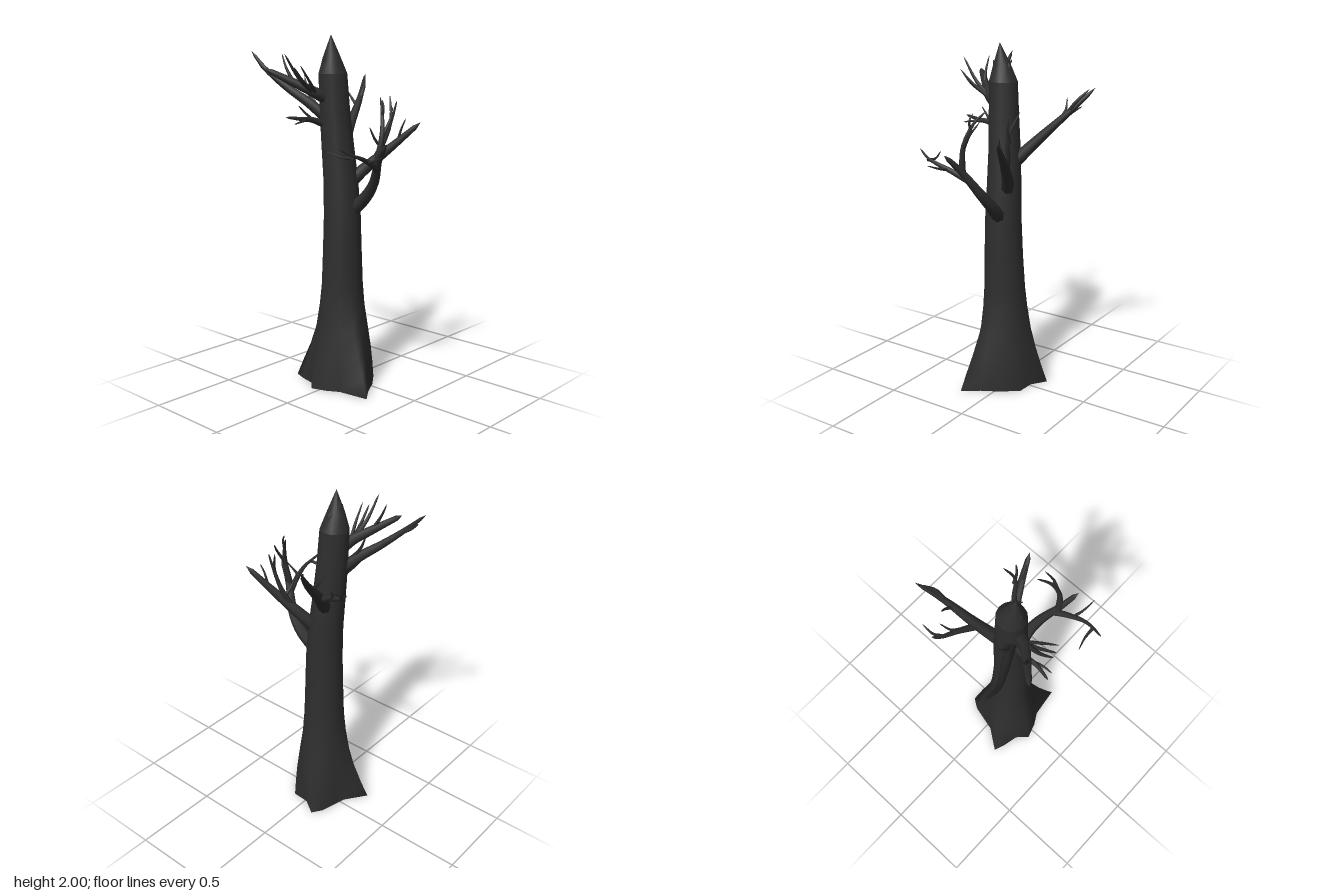
import * as THREE from 'three';
import { mergeVertices } from 'three/addons/utils/BufferGeometryUtils.js';

const bark = new THREE.MeshStandardMaterial({ color: 0x2e2e2e, side: THREE.DoubleSide });
bark.name = 'dark bark';

// Skin stacked closed rings (arrays of Vector3) into a smooth shell.
function loft(rings) {
  const n = rings[0].length, index = [];
  for (let r = 0; r < rings.length - 1; r++) {
    for (let i = 0; i < n; i++) {
      const a = r * n + i, b = r * n + (i + 1) % n, c = a + n, d = b + n;
      index.push(a, c, b, b, c, d);
    }
  }
  const geo = new THREE.BufferGeometry().setFromPoints(rings.flat());
  geo.setIndex(index);
  geo.computeVertexNormals();
  return geo;
}

// Tapered tube through the points, closed at the tip.
function limb(points, r0, r1, sides = 7) {
  const curve = new THREE.CatmullRomCurve3(points.map(p => new THREE.Vector3(...p)));
  const steps = points.length * 3;
  let geo = new THREE.TubeGeometry(curve, steps, 1, sides);
  const pos = geo.attributes.position, v = new THREE.Vector3();
  for (let i = 0; i < pos.count; i++) {
    const ring = Math.floor(i / (sides + 1)), t = ring / steps;
    const c = curve.getPointAt(t);
    const r = ring === steps ? 0.0005 : r0 + (r1 - r0) * t;
    v.fromBufferAttribute(pos, i).sub(c).multiplyScalar(r).add(c);
    pos.setXYZ(i, v.x, v.y, v.z);
  }
  geo.deleteAttribute('uv');
  geo.deleteAttribute('normal');
  geo = mergeVertices(geo, 1e-5);
  geo.computeVertexNormals();
  return geo;
}

// Root outline on the ground (x, z)
const roots = [
  [0.29, 0.165], [0.11, 0.19], [0.04, 0.23], [-0.05, 0.26], [-0.11, 0.2], [-0.2, 0.18],
  [-0.27, 0.155], [-0.18, 0.03], [-0.16, -0.05], [-0.14, -0.13], [-0.1, -0.19],
  [-0.01, -0.13], [0.09, -0.125], [0.165, -0.03], [0.22, 0.07],
];
// Trunk rings: y, xMin, xMax, zMin, zMax, share of root outline
const trunkRings = [
  [0, -0.16, 0.16, -0.11, 0.2, 1],
  [0.1, -0.15, 0.15, -0.11, 0.195, 0.74],
  [0.2, -0.145, 0.145, -0.105, 0.19, 0.48],
  [0.33, -0.135, 0.135, -0.09, 0.18, 0.22],
  [0.47, -0.128, 0.12, -0.08, 0.175, 0.06],
  [0.6, -0.12, 0.115, -0.072, 0.17, 0],
  [0.8, -0.11, 0.112, -0.06, 0.165, 0],
  [1.0, -0.103, 0.108, -0.052, 0.16, 0],
  [1.2, -0.105, 0.09, -0.045, 0.155, 0],
  [1.4, -0.115, 0.067, -0.03, 0.155, 0],
  [1.6, -0.12, 0.05, -0.012, 0.16, 0],
  [1.79, -0.12, 0.038, 0, 0.163, 0],
];
const crownRings = [
  [1.79, -0.12, 0.038, 0, 0.163, 0],
  [1.88, -0.09, 0.008, 0.04, 0.14, 0],
  [2.0, -0.036, -0.034, 0.1, 0.102, 0],
];

function ring([y, x0, x1, z0, z1, share]) {
  return roots.map(([rx, rz], i) => {
    const a = 0.5 + i / roots.length * Math.PI * 2;
    const x = (x0 + x1) / 2 + Math.cos(a) * (x1 - x0) / 2;
    const z = (z0 + z1) / 2 + Math.sin(a) * (z1 - z0) / 2;
    return new THREE.Vector3(x + (rx - x) * share, y, z + (rz - z) * share);
  });
}

// Each bough: limbs as [start radius, end radius, path]; the first is the main one
const boughs = {
  backBough: [
    [0.04, 0.008, [[-0.04, 1.34, 0.01], [-0.1, 1.48, -0.12], [-0.16, 1.64, -0.28], [-0.225, 1.77, -0.4]]],
    [0.014, 0.004, [[-0.155, 1.63, -0.27], [-0.165, 1.7, -0.32], [-0.21, 1.76, -0.37]]],
    [0.01, 0.003, [[-0.15, 1.6, -0.23], [-0.19, 1.64, -0.235], [-0.23, 1.7, -0.22]]],
    [0.022, 0.007, [[-0.09, 1.46, -0.1], [-0.2, 1.52, -0.14], [-0.3, 1.57, -0.17], [-0.34, 1.61, -0.19]]],
    [0.01, 0.003, [[-0.29, 1.57, -0.17], [-0.32, 1.6, -0.2], [-0.328, 1.64, -0.26]]],
    [0.01, 0.003, [[-0.18, 1.51, -0.14], [-0.23, 1.55, -0.165], [-0.26, 1.61, -0.21]]],
  ],
  leftBackBough: [
    [0.04, 0.012, [[0.03, 1.19, 0.01], [0.1, 1.27, -0.04], [0.24, 1.4, -0.11], [0.38, 1.53, -0.17]]],
    [0.018, 0.004, [[0.14, 1.31, -0.06], [0.18, 1.42, -0.1], [0.21, 1.53, -0.12], [0.165, 1.67, -0.165]]],
    [0.011, 0.004, [[0.2, 1.5, -0.12], [0.225, 1.57, -0.125], [0.235, 1.64, -0.14]]],
    [0.011, 0.003, [[0.17, 1.38, -0.09], [0.155, 1.43, -0.05], [0.15, 1.5, -0.01]]],
    [0.009, 0.003, [[0.26, 1.42, -0.12], [0.29, 1.5, -0.12], [0.31, 1.55, -0.13]]],
  ],
  leftFrontBough: [
    [0.042, 0.012, [[0.05, 1.02, 0.04], [0.15, 1.11, 0.025], [0.23, 1.2, 0.045], [0.32, 1.34, 0.11], [0.41, 1.44, 0.155]]],
    [0.02, 0.004, [[0.29, 1.29, 0.09], [0.315, 1.33, 0.17], [0.335, 1.37, 0.27], [0.33, 1.39, 0.33], [0.305, 1.43, 0.405]]],
    [0.01, 0.002, [[0.33, 1.38, 0.33], [0.26, 1.375, 0.335], [0.18, 1.4, 0.36]]],
    [0.01, 0.002, [[0.32, 1.34, 0.2], [0.38, 1.355, 0.22], [0.46, 1.385, 0.233]]],
    [0.02, 0.004, [[0.31, 1.33, 0.11], [0.325, 1.48, 0.09], [0.29, 1.6, 0.05], [0.235, 1.67, 0]]],
    [0.011, 0.003, [[0.325, 1.47, 0.09], [0.335, 1.55, 0.04], [0.315, 1.62, -0.01]]],
    [0.009, 0.003, [[0.3, 1.57, 0.06], [0.31, 1.62, 0.06], [0.29, 1.66, 0.05]]],
  ],
  rightFrontBough: [
    [0.036, 0.007, [[-0.05, 1.53, 0.09], [-0.15, 1.63, 0.16], [-0.25, 1.71, 0.225], [-0.36, 1.81, 0.285], [-0.46, 1.91, 0.303]]],
    [0.011, 0.004, [[-0.34, 1.79, 0.275], [-0.39, 1.82, 0.285], [-0.43, 1.86, 0.285]]],
    [0.014, 0.003, [[-0.09, 1.59, 0.13], [-0.16, 1.68, 0.15], [-0.21, 1.78, 0.135]]],
  ],
  frontBough: [
    [0.038, 0.013, [[-0.04, 1.64, 0.1], [-0.07, 1.69, 0.19], [-0.14, 1.74, 0.27], [-0.255, 1.82, 0.39]]],
    [0.015, 0.004, [[-0.07, 1.69, 0.2], [-0.085, 1.77, 0.3], [-0.095, 1.9, 0.395]]],
    [0.013, 0.004, [[-0.07, 1.7, 0.22], [-0.05, 1.76, 0.31], [-0.045, 1.83, 0.375]]],
    [0.012, 0.003, [[-0.06, 1.69, 0.2], [-0.03, 1.76, 0.28], [-0.012, 1.84, 0.36]]],
    [0.012, 0.003, [[-0.14, 1.74, 0.28], [-0.18, 1.82, 0.3], [-0.215, 1.9, 0.3]]],
  ],
  lowerFrontBough: [
    [0.022, 0.006, [[-0.06, 1.51, 0.12], [-0.08, 1.54, 0.2], [-0.075, 1.55, 0.28], [-0.1, 1.565, 0.385]]],
    [0.01, 0.003, [[-0.08, 1.545, 0.24], [-0.055, 1.54, 0.31], [-0.05, 1.53, 0.37]]],
    [0.01, 0.003, [[-0.08, 1.54, 0.2], [-0.1, 1.58, 0.24], [-0.11, 1.62, 0.28]]],
  ],
  // Broken splinters around the crown
  crownSplinters: [
    [0.035, 0.003, [[-0.07, 1.76, 0.09], [-0.07, 1.86, 0.09], [-0.065, 1.955, 0.095]]],
    [0.03, 0.003, [[-0.05, 1.76, 0.125], [-0.045, 1.84, 0.135], [-0.04, 1.905, 0.148]]],
    [0.035, 0.012, [[-0.04, 1.76, 0.045], [-0.04, 1.83, 0.045], [-0.04, 1.895, 0.05]]],
  ],
};

export function createModel() {
  const tree = new THREE.Group();
  tree.name = 'bareTree';
  const add = (parent, name, geo) => {
    const mesh = new THREE.Mesh(geo, bark);
    mesh.name = name;
    parent.add(mesh);
  };

  // Flared trunk and pointed broken top
  add(tree, 'trunk', loft(trunkRings.map(ring)));
  add(tree, 'crown', loft(crownRings.map(ring)));

  // Boughs with their twigs
  for (const [name, limbs] of Object.entries(boughs)) {
    const bough = new THREE.Group();
    bough.name = name;
    limbs.forEach(([r0, r1, path], i) => add(bough, i ? 'twig' + i : 'mainLimb', limb(path, r0, r1)));
    tree.add(bough);
  }
  return tree;
}
